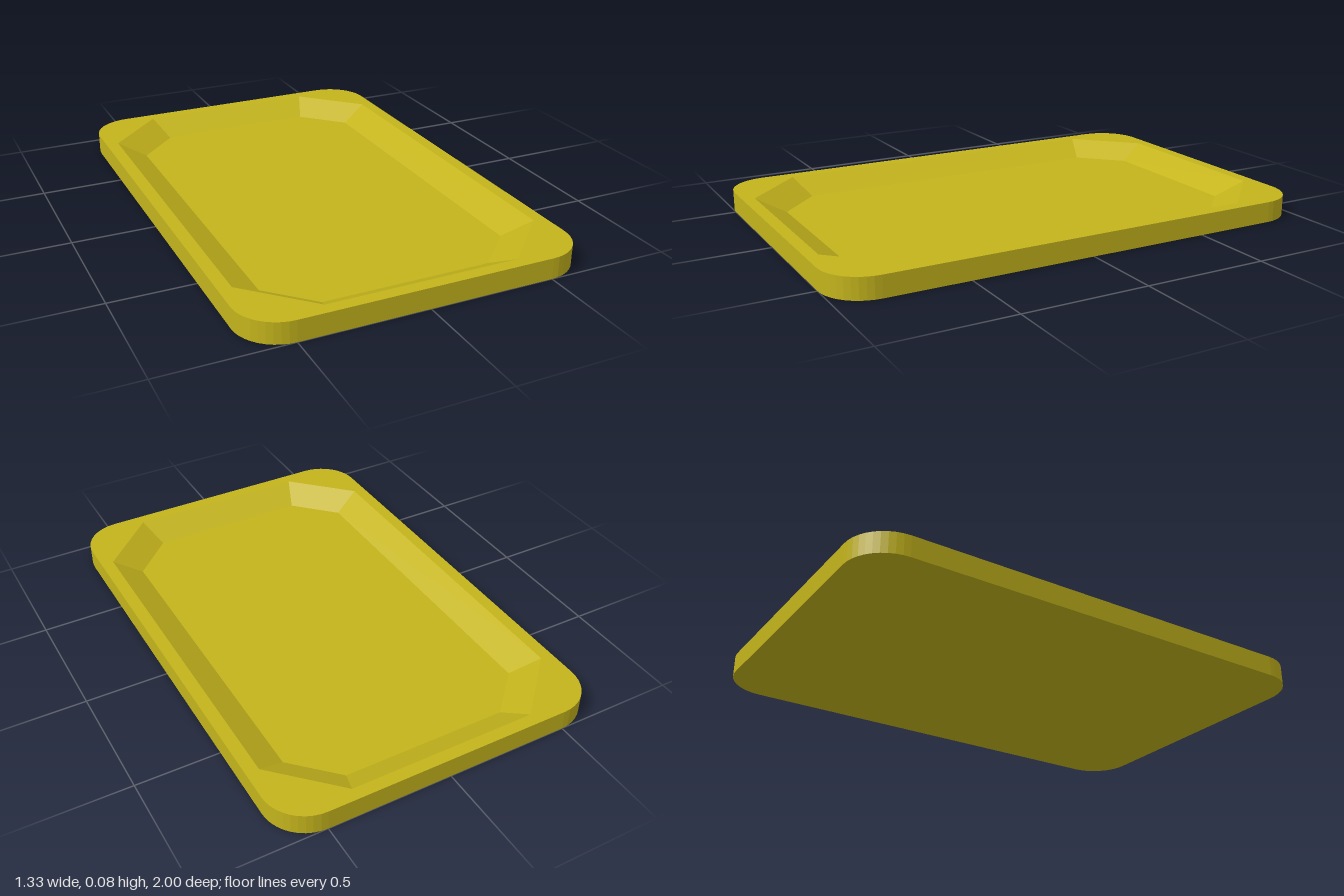
import * as THREE from 'three';

const HEIGHT = 0.084, FLOOR = 0.021;
const HALF_W = 0.667, HALF_L = 1, RADIUS = 0.167;

// Rounded outline, counter-clockwise
function roundedOutline() {
  const x = HALF_W - RADIUS, y = HALF_L - RADIUS, steps = 10, points = [];
  [[x, y], [-x, y], [-x, -y], [x, -y]].forEach(([cx, cy], corner) => {
    for (let i = 0; i <= steps; i++) {
      const a = (corner + i / steps) * Math.PI / 2;
      points.push(new THREE.Vector2(cx + RADIUS * Math.cos(a), cy + RADIUS * Math.sin(a)));
    }
  });
  return points;
}

// Rectangle with chamfered corners, counter-clockwise
function octagon(w, l, cut) {
  return [
    [w, l - cut], [w - cut, l], [cut - w, l], [-w, l - cut],
    [-w, cut - l], [cut - w, -l], [w - cut, -l], [w, cut - l],
  ].map(([x, y]) => new THREE.Vector2(x, y));
}

// Flat-shaded band joining two loops at different heights
function band(loopA, yA, loopB, yB) {
  const positions = [];
  const n = loopA.length;
  for (let i = 0; i < n; i++) {
    const j = (i + 1) % n;
    const a = [loopA[i].x, yA, -loopA[i].y], b = [loopA[j].x, yA, -loopA[j].y];
    const c = [loopB[j].x, yB, -loopB[j].y], d = [loopB[i].x, yB, -loopB[i].y];
    positions.push(...a, ...b, ...c, ...a, ...c, ...d);
  }
  const geometry = new THREE.BufferGeometry();
  geometry.setAttribute('position', new THREE.Float32BufferAttribute(positions, 3));
  geometry.computeVertexNormals();
  return geometry;
}

// Horizontal face, facing up or down
function plate(loop, y, up = true, hole = null) {
  const shape = new THREE.Shape(loop);
  if (hole) shape.holes.push(new THREE.Path(hole));
  return new THREE.ShapeGeometry(shape).rotateX(up ? -Math.PI / 2 : Math.PI / 2).translate(0, y, 0);
}

export function createModel() {
  const group = new THREE.Group();
  group.name = 'tray';
  const material = new THREE.MeshStandardMaterial({ color: 0xc4b41c });
  const add = (name, geometry) => {
    const mesh = new THREE.Mesh(geometry, material);
    mesh.name = name;
    group.add(mesh);
  };

  const outline = roundedOutline();
  const recessTop = octagon(0.615, 0.95, 0.235);
  const recessFloor = octagon(0.5, 0.835, 0.165);

  add('outerWall', band(outline, 0, outline, HEIGHT));
  add('underside', plate(outline, 0, false));
  add('rim', plate(outline, HEIGHT, true, recessTop));
  add('recessWall', band(recessTop, HEIGHT, recessFloor, FLOOR));
  add('recessFloor', plate(recessFloor, FLOOR));
  return group;
}
